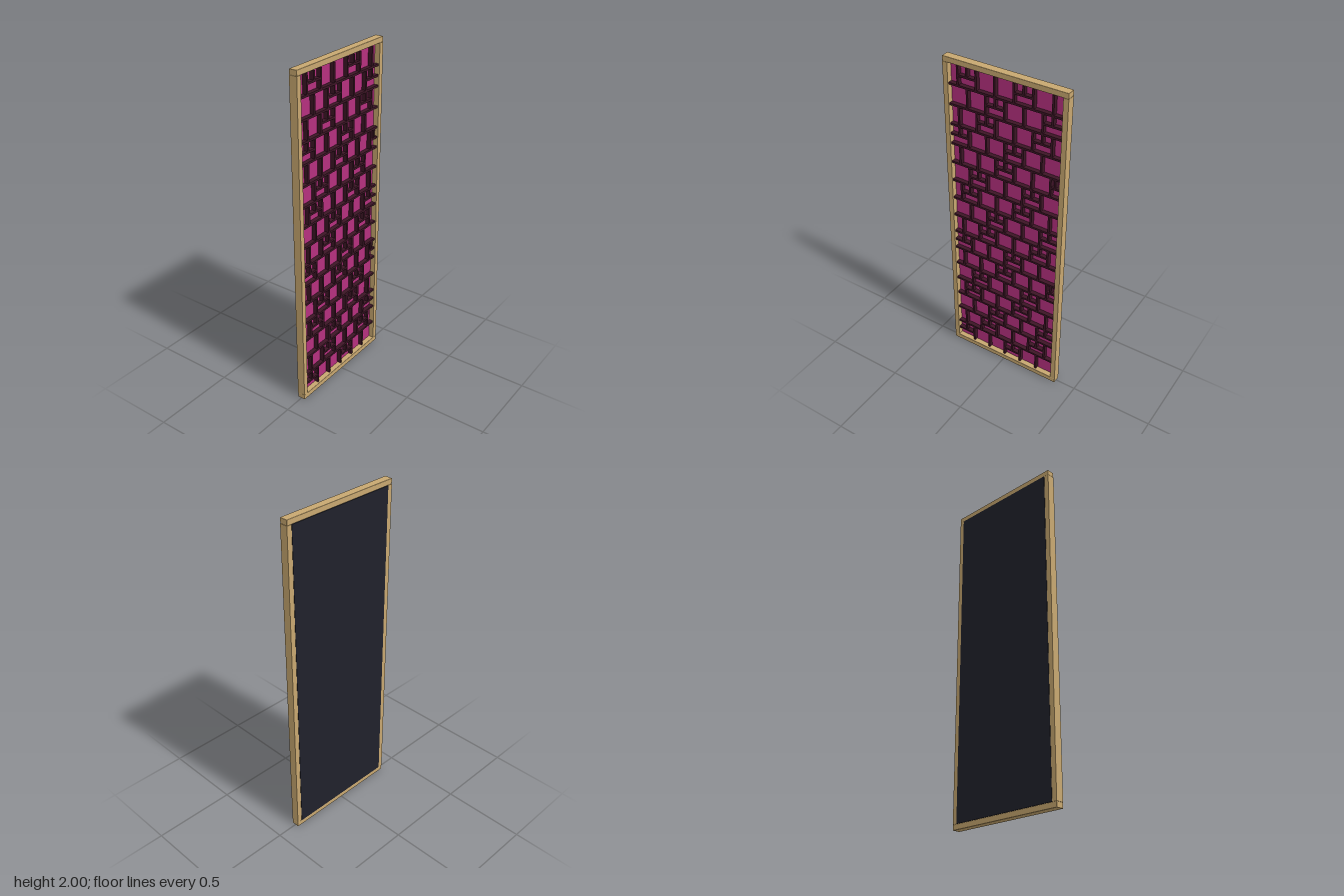
import * as THREE from 'three';
import { RoundedBoxGeometry } from 'three/addons/geometries/RoundedBoxGeometry.js';

const mat = (name, color) => new THREE.MeshStandardMaterial({ name, color });

export function createModel() {
  const group = new THREE.Group();
  group.name = 'latticePanel';
  const wood = mat('lightWood', 0xc8a870);
  const pink = mat('magenta', 0xb5307f);
  const bars = mat('darkMaroon', 0x3c1525);
  const back = mat('darkBacking', 0x20212b);

  // Box given by its limits on each axis
  function box(name, material, [x0, x1], [y0, y1], [z0, z1], radius = 0, parent = group) {
    const size = [x1 - x0, y1 - y0, z1 - z0];
    const geometry = radius
      ? new RoundedBoxGeometry(...size, 2, radius)
      : new THREE.BoxGeometry(...size);
    const mesh = new THREE.Mesh(geometry, material);
    mesh.name = name;
    mesh.position.set((x0 + x1) / 2, (y0 + y1) / 2, (z0 + z1) / 2);
    parent.add(mesh);
  }

  const W = 0.373, X = 0.343, Y0 = 0.032, Y1 = 1.968;
  const depth = [-0.0235, 0.0245];

  // Outer frame
  box('bottomRail', wood, [-W, W], [0, Y0], depth, 0.003);
  box('topRail', wood, [-W, W], [Y1, 2], depth, 0.003);
  box('rightStile', wood, [-W, -X], [Y0, Y1], depth);
  box('leftStile', wood, [X, W], [Y0, Y1], depth);

  // Coloured infill and its dark backing
  box('infillPanel', pink, [-X, X], [Y0, Y1], [-0.018, -0.008]);
  box('backPanel', back, [-X, X], [Y0, Y1], [-0.0255, -0.018]);

  // Lattice of staggered squares, every third one split by a T
  const lattice = new THREE.Group();
  lattice.name = 'lattice';
  group.add(lattice);
  const t = 0.006, z = [-0.008, 0.018];
  const rows = 16, rowH = (Y1 - Y0) / rows, cell = X / 3;
  const horizontal = (x0, x1, y) => box('horizontalBar', bars, [x0, x1], [y - t, y + t], z, 0, lattice);
  const vertical = (x, y0, y1) => box('verticalBar', bars, [x - t, x + t], [y0 + t, y1 - t], z, 0, lattice);
  const firstSplit = [0, 2, 2, 1, 1, 3];

  for (let r = 0; r < rows; r++) {
    const y0 = Y0 + r * rowH, y1 = y0 + rowH, mid = (y0 + y1) / 2;
    if (r > 0) horizontal(-X, X, y0);
    const shift = r % 2 ? 0.5 : 0;
    const count = r % 2 ? 7 : 6;
    const edge = (i) => THREE.MathUtils.clamp(-X + (i - shift) * cell, -X, X);
    for (let i = 0; i < count; i++) {
      const x0 = edge(i), x1 = edge(i + 1);
      if (i > 0) vertical(x0, y0, y1);
      const step = i - firstSplit[r % 6];
      if (step === 0 || step === 3) {
        horizontal(i > 0 ? x0 + t : x0, i < count - 1 ? x1 - t : x1, mid);
        vertical((x0 + x1) / 2, mid, y1);
      }
    }
  }
  return group;
}
